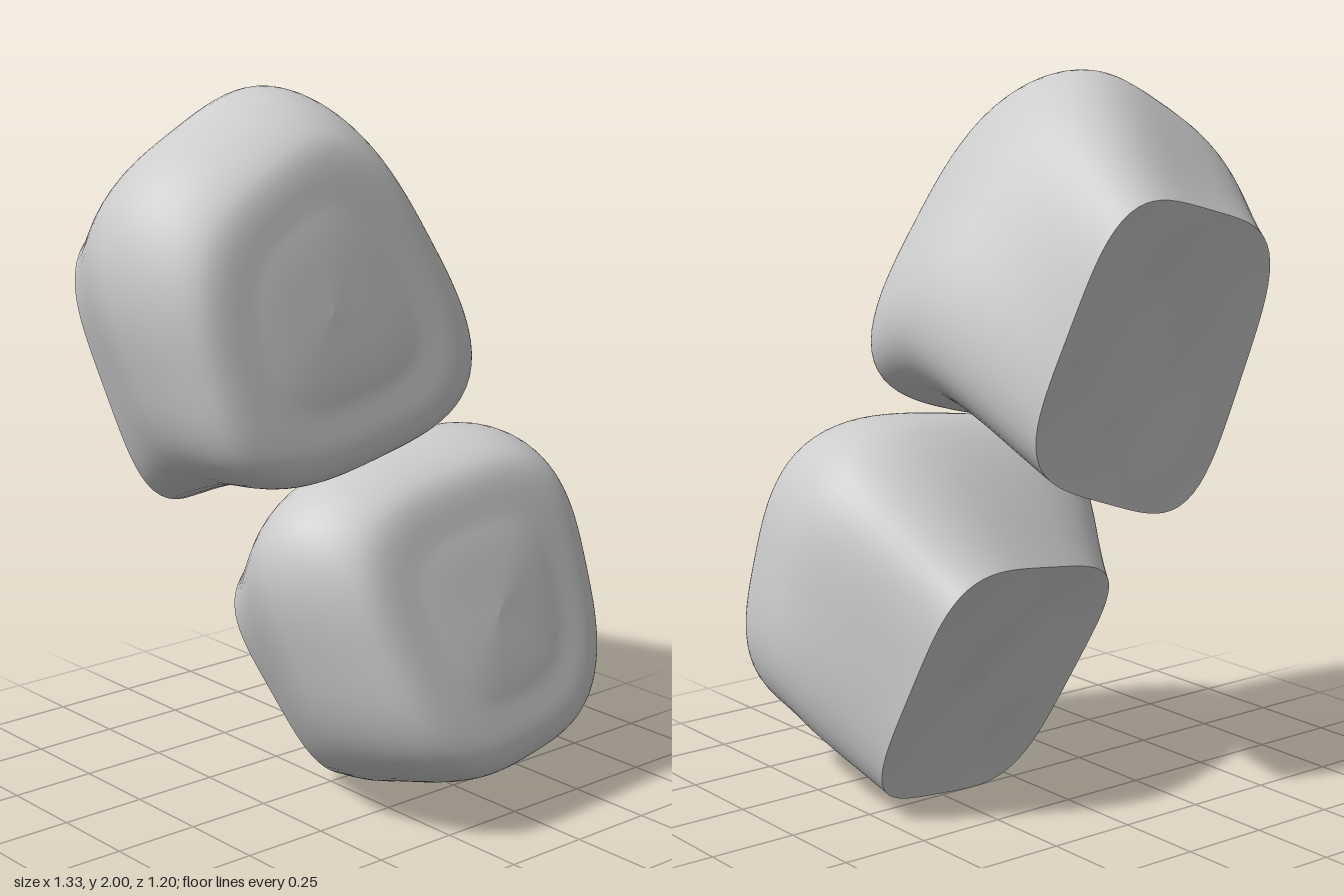
import * as THREE from 'three';

const SIDES = 96;

// Closed surface from rings; row(t) returns four corners, squareness and an optional offset rule
function loft(steps, row) {
  const pos = [], index = [];
  for (let i = 0; i <= steps; i++) {
    const { corners: [a, b, c, d], n, offset } = row(i / steps);
    for (let j = 0; j < SIDES; j++) {
      const ang = (j / SIDES) * Math.PI * 2, cx = Math.cos(ang), sy = Math.sin(ang);
      const r = Math.pow(2, 1 / n) / Math.pow(Math.abs(cx) ** n + Math.abs(sy) ** n, 1 / n);
      const u = (cx * r + 1) / 2, v = (sy * r + 1) / 2;
      const p = new THREE.Vector3()
        .addScaledVector(a, u * v).addScaledVector(b, (1 - u) * v)
        .addScaledVector(c, (1 - u) * (1 - v)).addScaledVector(d, u * (1 - v));
      if (offset) offset(p);
      pos.push(p.x, p.y, p.z);
      if (i < steps) {
        const k = (j + 1) % SIDES, o = i * SIDES;
        index.push(o + j, o + k, o + SIDES + k, o + j, o + SIDES + k, o + SIDES + j);
      }
    }
  }
  const g = new THREE.BufferGeometry();
  g.setAttribute('position', new THREE.Float32BufferAttribute(pos, 3));
  g.setIndex(index);
  g.computeVertexNormals();
  return g;
}

const middle = (q) => q.reduce((s, p) => s.add(p), new THREE.Vector3()).multiplyScalar(0.25);

// Soft block with a rounded body and a flat, slightly dented back
function block(name, rings, material) {
  const [back, mid, front] = rings.map((q) => q.map((p) => new THREE.Vector3(...p)));
  const backMid = middle(back), frontMid = middle(front);
  const axis = frontMid.clone().sub(backMid).normalize();
  const inset = (f, push) => front.map((p) => p.clone().lerp(frontMid, f).addScaledVector(axis, push));

  const stations = [back, mid, front, inset(0.45, 0.03), inset(1, 0.04)];
  const curves = [0, 1, 2, 3].map((k) => new THREE.CatmullRomCurve3(stations.map((s) => s[k])));
  const body = loft(64, (t) => ({
    corners: curves.map((c) => c.getPoint(t)),
    n: 3 + Math.max(0, 1 - t * 4),
  }));

  const face = loft(24, (t) => ({
    corners: back.map((p) => backMid.clone().lerp(p, t)),
    n: 4,
    offset: (p) => p.addScaledVector(axis,
      (1 - t * t) * (0.025 + 0.012 * Math.sin(p.x * 13 + p.y * 4) * Math.cos(p.y * 11))),
  }));

  const group = new THREE.Group();
  group.name = name;
  [['roundedBody', body], ['flatBack', face]].forEach(([part, geo]) => {
    const mesh = new THREE.Mesh(geo, material);
    mesh.name = part;
    group.add(mesh);
  });
  return group;
}

export function createModel() {
  const grey = new THREE.MeshStandardMaterial({ color: 0xcccccc });
  grey.name = 'light grey';
  const model = new THREE.Group();
  model.name = 'stackedBlocks';

  // Corner order of each ring: top right, top left, bottom left, bottom right
  model.add(block('upperBlock', [
    [[0.1, 1.67, -0.6], [-0.51, 1.51, -0.48], [-0.31, 0.83, -0.38], [0.26, 1.03, -0.43]],
    [[-0.06, 1.98, -0.11], [-0.65, 1.66, -0.13], [-0.43, 0.97, 0], [0.36, 1.27, -0.02]],
    [[-0.06, 1.87, 0.15], [-0.55, 1.61, 0.14], [-0.42, 1.03, 0.24], [0.28, 1.2, 0.26]],
  ], grey));

  model.add(block('lowerBlock', [
    [[0.42, 0.69, -0.34], [-0.22, 0.57, -0.16], [0, 0.03, 0], [0.51, 0.1, -0.08]],
    [[0.5, 0.98, 0.12], [-0.33, 0.87, 0.16], [-0.12, 0.14, 0.29], [0.59, 0.25, 0.22]],
    [[0.44, 0.95, 0.39], [-0.22, 0.86, 0.39], [-0.06, 0.25, 0.58], [0.52, 0.32, 0.53]],
  ], grey));
  return model;
}
